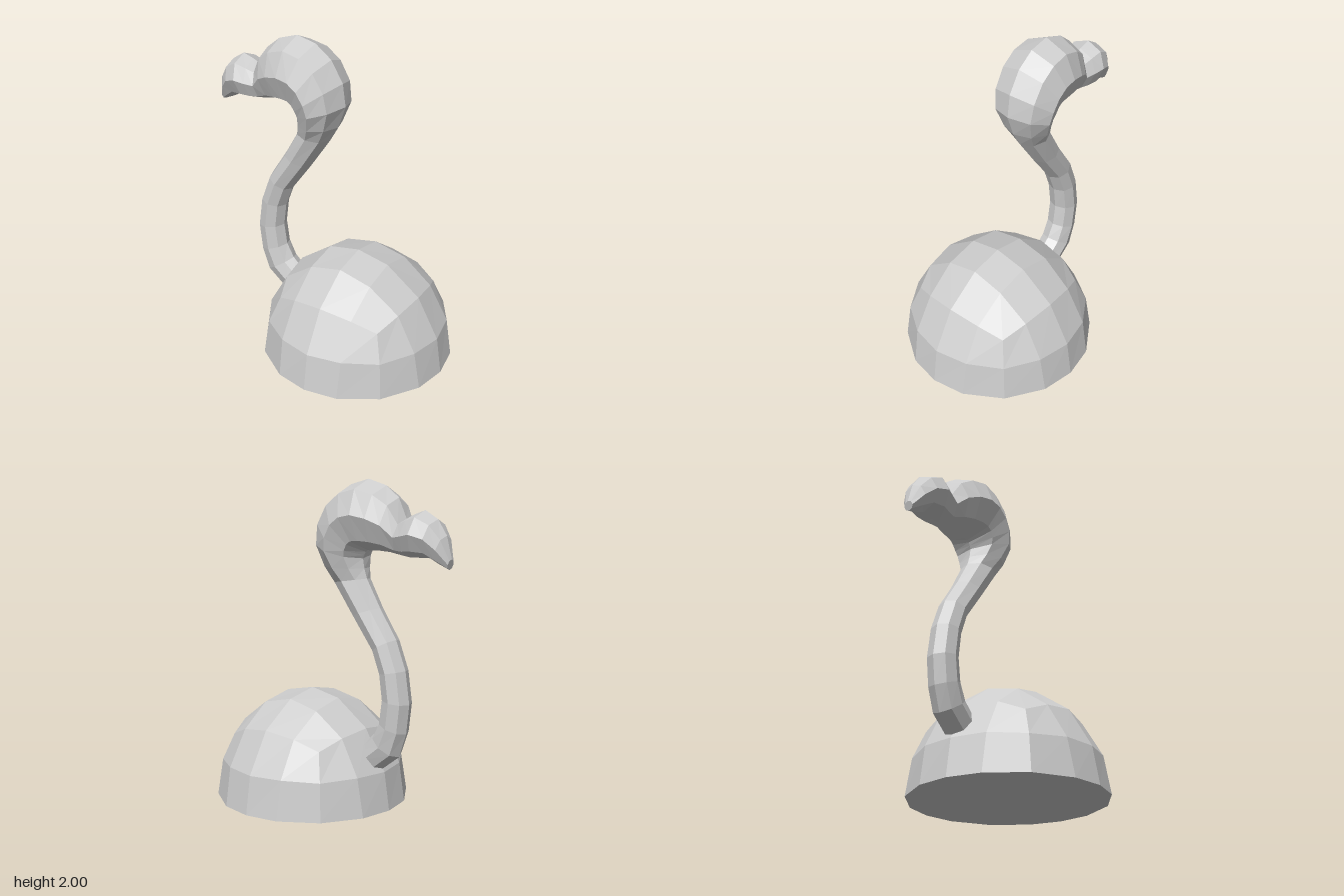
import * as THREE from 'three';

const material = new THREE.MeshStandardMaterial({ color: 0xcccccc, flatShading: true });

// Half of a cube rounded into a dome with a flat base
function domeGeometry(rx, ry, rz) {
  const g = new THREE.BoxGeometry(2, 1, 2, 4, 2, 4).translate(0, 0.5, 0);
  const p = g.attributes.position;
  const v = new THREE.Vector3();
  const ease = (a, b, c) => {
    if (Math.abs(a) > 0.99) return a;
    const other = Math.min(Math.abs(b), Math.abs(c));
    return a * (0.73 + 0.27 * other * other);
  };
  for (let i = 0; i < p.count; i++) {
    const x = p.getX(i), y = p.getY(i), z = p.getZ(i);
    const edge = Math.max(Math.abs(x), Math.abs(y), Math.abs(z));
    v.set(ease(x, y, z), ease(y, x, z), ease(z, x, y));
    if (v.lengthSq() > 0) v.setLength(edge);
    p.setXYZ(i, v.x * rx, v.y * ry, v.z * rz);
  }
  g.computeVertexNormals();
  return g;
}

// Closed eight-sided skin through sections [outer x, outer y, inner x, inner y, half width]
function loftGeometry(sections, sides = 8) {
  const pos = [], idx = [];
  for (const [ox, oy, ix, iy, w] of sections) {
    const cx = (ox + ix) / 2, cy = (oy + iy) / 2;
    for (let j = 0; j < sides; j++) {
      const t = (j / sides) * Math.PI * 2;
      pos.push(cx + (ox - cx) * Math.cos(t), cy + (oy - cy) * Math.cos(t), w * Math.sin(t));
    }
  }
  const last = (sections.length - 1) * sides;
  for (let i = 0; i < last; i += sides) {
    for (let j = 0; j < sides; j++) {
      const k = (j + 1) % sides;
      const a = i + j, b = i + k, c = i + sides + k, d = i + sides + j;
      idx.push(a, b, c, a, c, d);
    }
  }
  for (let j = 1; j < sides - 1; j++) {
    idx.push(0, j + 1, j, last, last + j, last + j + 1);
  }
  const g = new THREE.BufferGeometry();
  g.setAttribute('position', new THREE.Float32BufferAttribute(pos, 3));
  g.setIndex(idx);
  g.computeVertexNormals();
  return g;
}

export function createModel() {
  const group = new THREE.Group();
  group.name = 'wadingBird';

  const body = new THREE.Mesh(domeGeometry(0.615, 0.69, 0.615), material);
  body.name = 'body';
  body.position.x = 0.205;
  group.add(body);

  const sections = [
    // beak
    [-0.825, 1.55, -0.81, 1.49, 0.03],
    [-0.79, 1.68, -0.74, 1.52, 0.08],
    [-0.73, 1.77, -0.68, 1.55, 0.12],
    [-0.645, 1.82, -0.60, 1.55, 0.145],
    [-0.57, 1.795, -0.54, 1.55, 0.13],
    [-0.515, 1.77, -0.48, 1.56, 0.115],
    // head
    [-0.46, 1.89, -0.40, 1.575, 0.15],
    [-0.37, 1.96, -0.33, 1.58, 0.185],
    [-0.24, 2.0, -0.27, 1.58, 0.205],
    [-0.11, 1.97, -0.235, 1.58, 0.21],
    [0.0, 1.89, -0.22, 1.57, 0.21],
    [0.08, 1.76, -0.21, 1.55, 0.205],
    [0.10, 1.62, -0.20, 1.53, 0.19],
    [0.05, 1.48, -0.21, 1.47, 0.15],
    // neck
    [-0.01, 1.38, -0.23, 1.41, 0.11],
    [-0.15, 1.18, -0.33, 1.24, 0.095],
    [-0.30, 0.98, -0.45, 1.06, 0.092],
    [-0.35, 0.85, -0.52, 0.88, 0.092],
    [-0.37, 0.70, -0.55, 0.68, 0.092],
    [-0.35, 0.56, -0.53, 0.50, 0.092],
    [-0.30, 0.47, -0.48, 0.35, 0.092],
    [-0.21, 0.39, -0.345, 0.245, 0.092],
  ];
  const neck = new THREE.Mesh(loftGeometry(sections), material);
  neck.name = 'neckHeadAndBeak';
  group.add(neck);

  return group;
}
